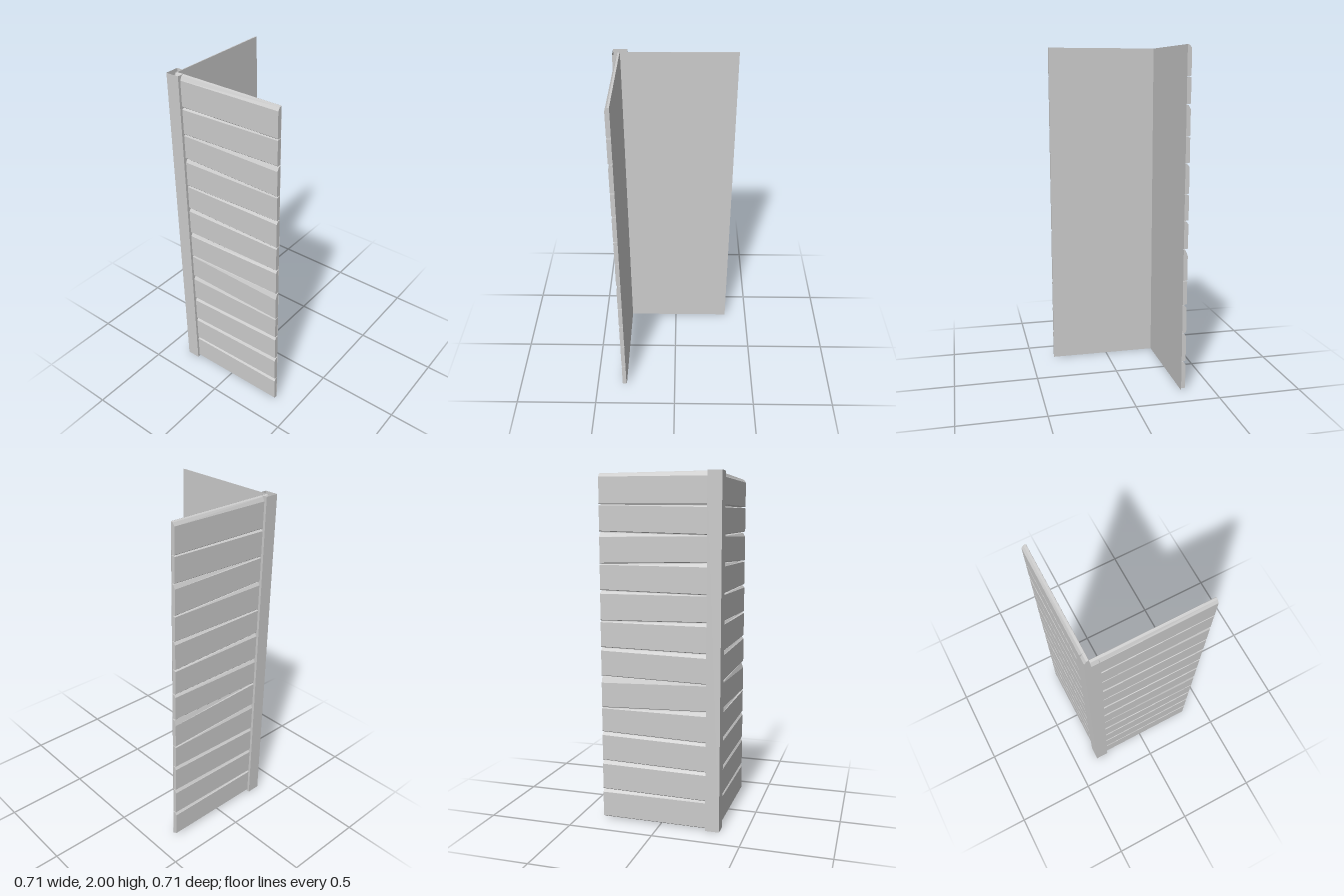
import * as THREE from 'three';

const HALF = 0.353, INNER = 0.312, BACK = 0.3135, FACE = 0.338, HEIGHT = 2;

// Seams between planks: [upper plank's lower edge, lower plank's bevel edge],
// each as a height near the corner and a height at the free end.
const SEAMS = [
  [[0.008, 0.012], [0, 0]],
  [[0.17, 0.182], [0.158, 0.16]],
  [[0.34, 0.358], [0.32, 0.333]],
  [[0.51, 0.53], [0.49, 0.508]],
  [[0.692, 0.675], [0.662, 0.672]],
  [[0.845, 0.862], [0.84, 0.82]],
  [[1.016, 1.028], [0.99, 1.008]],
  [[1.19, 1.182], [1.166, 1.172]],
  [[1.34, 1.355], [1.337, 1.334]],
  [[1.517, 1.504], [1.49, 1.5]],
  [[1.662, 1.682], [1.66, 1.652]],
  [[1.822, 1.832], [1.808, 1.826]],
  [[2.004, 2.004], [1.972, 1.98]],
];

const material = new THREE.MeshStandardMaterial({ color: 0xcccccc, flatShading: true });
const sheetMaterial = material.clone();
sheetMaterial.side = THREE.DoubleSide;

function geometryFrom(positions) {
  const geometry = new THREE.BufferGeometry();
  geometry.setAttribute('position', new THREE.Float32BufferAttribute(positions, 3));
  geometry.computeVertexNormals();
  return geometry;
}

function namedMesh(name, geometry, mat) {
  const mesh = new THREE.Mesh(geometry, mat);
  mesh.name = name;
  return mesh;
}

// Plank cross-section at one end, as [y, z], counter-clockwise seen from +x
function section(bottom, seamTop, bevelEdge) {
  const top = seamTop - 0.004;
  const front = Math.min(bevelEdge, top - 0.003);
  return [
    [bottom + 0.004, FACE], [bottom, FACE - 0.004], [bottom, BACK],
    [top, BACK], [top - 0.15 * (top - front), FACE - 0.012], [front, FACE],
  ];
}

// Solid lofted between two end sections
function plankGeometry(xLeft, left, xRight, right) {
  const L = left.map(([y, z]) => [xLeft, y, z]);
  const R = right.map(([y, z]) => [xRight, y, z]);
  const positions = [];
  const tri = (a, b, c) => positions.push(...a, ...b, ...c);
  for (let i = 0; i < L.length; i++) {
    const j = (i + 1) % L.length;
    tri(R[i], L[i], L[j]);
    tri(R[i], L[j], R[j]);
    if (i > 0 && j > 0) {
      tri(R[0], R[i], R[j]);
      tri(L[0], L[j], L[i]);
    }
  }
  return geometryFrom(positions);
}

// One clad wall facing +z; side = -1 puts its corner end at +x
function wall(name, side) {
  const group = new THREE.Group();
  group.name = name;
  const width = HALF + INNER;
  const backing = namedMesh('backingSheet', new THREE.PlaneGeometry(width, HEIGHT), sheetMaterial);
  backing.position.set(side * (HALF - INNER) / 2, HEIGHT / 2, INNER);
  group.add(backing);

  for (let i = 0; i + 1 < SEAMS.length; i++) {
    const [bottom] = SEAMS[i];
    const [top, bevel] = SEAMS[i + 1];
    const near = section(bottom[0], top[0], bevel[0]);
    const far = section(bottom[1], top[1], bevel[1]);
    const geometry = side > 0
      ? plankGeometry(-BACK, near, HALF, far)
      : plankGeometry(-HALF, far, BACK, near);
    group.add(namedMesh('plank', geometry, material));
  }
  return group;
}

// Folded, open-ended trim wrapping the outer corner
function cornerTrim() {
  const path = [[-0.272, INNER], [-0.272, HALF], [-HALF, HALF], [-HALF, 0.272], [-INNER, 0.272]];
  const positions = [];
  for (let i = 0; i + 1 < path.length; i++) {
    const [[ax, az], [bx, bz]] = [path[i], path[i + 1]];
    positions.push(ax, 0, az, ax, HEIGHT, az, bx, HEIGHT, bz);
    positions.push(ax, 0, az, bx, HEIGHT, bz, bx, 0, bz);
  }
  return namedMesh('cornerTrim', geometryFrom(positions), sheetMaterial);
}

export function createModel() {
  const model = new THREE.Group();
  model.name = 'plankCladCorner';
  const sideWall = wall('rightWall', -1);
  sideWall.rotation.y = -Math.PI / 2;
  model.add(wall('frontWall', 1), sideWall, cornerTrim());
  return model;
}
